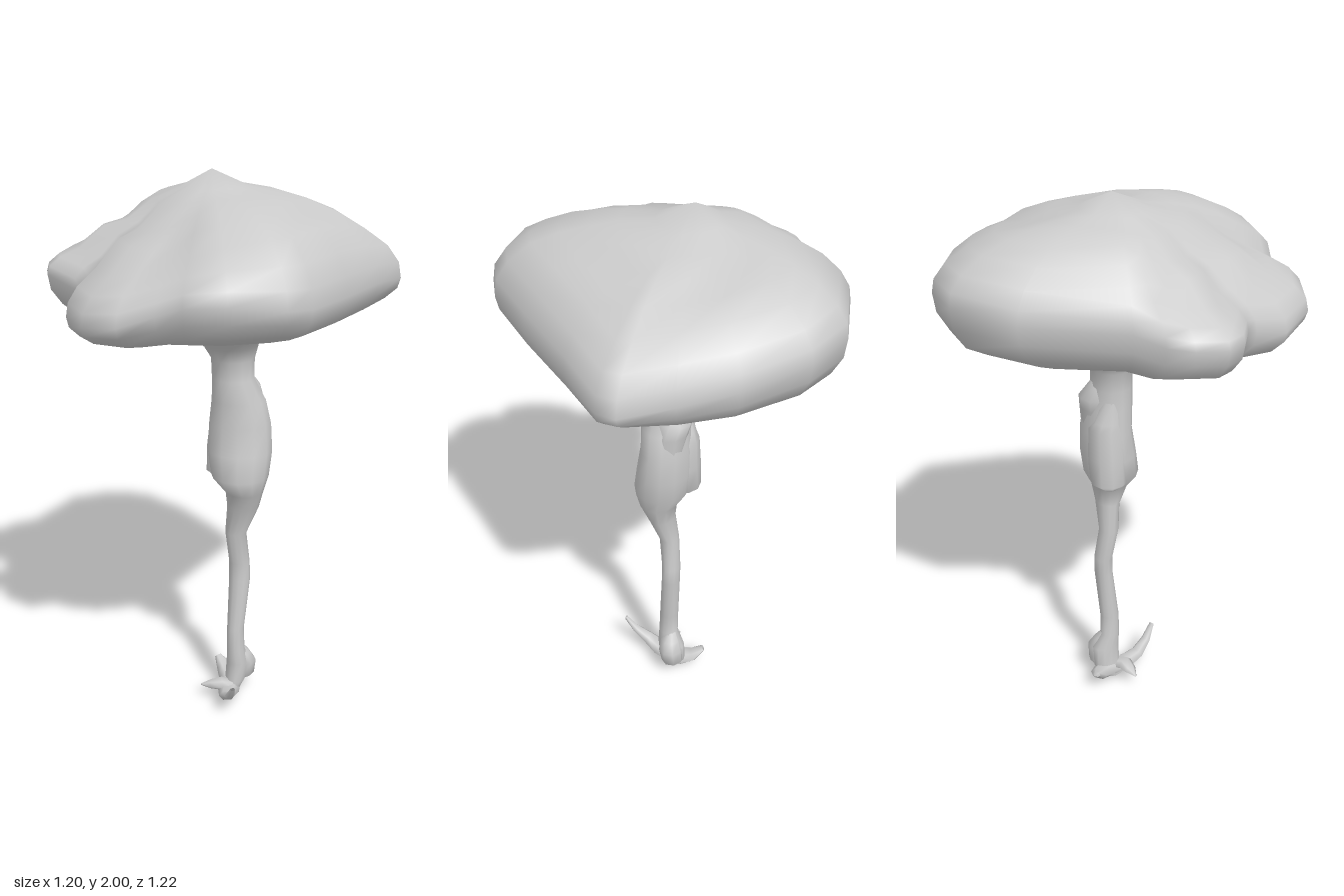
import * as THREE from 'three';
import { mergeVertices } from 'three/addons/utils/BufferGeometryUtils.js';

const lerp = THREE.MathUtils.lerp;
const material = new THREE.MeshStandardMaterial({ color: 0xcccccc, side: THREE.DoubleSide });

// Skin a stack of rings (bottom to top); each ring is a closed loop of [x, y, z]
function loft(name, rings) {
  const n = rings[0].length;
  const index = [];
  for (let i = 0; i < rings.length - 1; i++) {
    for (let j = 0; j < n; j++) {
      const a = i * n + j, b = i * n + (j + 1) % n;
      index.push(a, a + n, b, b, a + n, b + n);
    }
  }
  let geo = new THREE.BufferGeometry();
  geo.setAttribute('position', new THREE.Float32BufferAttribute(rings.flat(2), 3));
  geo.setIndex(index);
  geo = mergeVertices(geo, 1e-4);
  geo.computeVertexNormals();
  const mesh = new THREE.Mesh(geo, material);
  mesh.name = name;
  return mesh;
}

// Rings given by their extents: [y, xMin, xMax, zMin, zMax]
function column(name, sections, sides = 10) {
  return loft(name, sections.map(([y, x0, x1, z0, z1]) =>
    Array.from({ length: sides }, (_, j) => {
      const t = j / sides * Math.PI * 2;
      return [(x0 + x1) / 2 + Math.sin(t) * (x1 - x0) / 2, y, (z0 + z1) / 2 - Math.cos(t) * (z1 - z0) / 2];
    })));
}

// Tapered root: rings across a path of [x, y, z, radius]
function root(name, path) {
  const pts = path.map(p => new THREE.Vector3(p[0], p[1], p[2]));
  const rings = pts.map((p, i) => {
    const dir = pts[Math.min(i + 1, pts.length - 1)].clone().sub(pts[Math.max(i - 1, 0)]).normalize();
    const u = new THREE.Vector3(0, 1, 0).cross(dir).normalize();
    const v = dir.clone().cross(u);
    return Array.from({ length: 6 }, (_, j) => {
      const t = -j / 6 * Math.PI * 2;
      return p.clone().addScaledVector(u, Math.cos(t) * path[i][3])
        .addScaledVector(v, Math.sin(t) * path[i][3] * 0.6).toArray();
    });
  });
  return loft(name, rings);
}

// Cap outline, clockwise from the back: [x, z, underside y, rim y, shoulder y]
const outline = [
  [-0.02, -0.61, 1.59, 1.73, 1.87], [0.15, -0.59, 1.59, 1.72, 1.86],
  [0.34, -0.47, 1.57, 1.68, 1.84], [0.47, -0.34, 1.56, 1.65, 1.82],
  [0.58, -0.21, 1.56, 1.62, 1.80], [0.60, -0.15, 1.56, 1.63, 1.80],
  [0.52, 0.03, 1.56, 1.65, 1.83], [0.42, 0.27, 1.57, 1.66, 1.86],
  [0.32, 0.48, 1.58, 1.67, 1.86], [0.25, 0.55, 1.59, 1.68, 1.86],
  [0.08, 0.61, 1.59, 1.70, 1.84], [-0.05, 0.59, 1.58, 1.69, 1.81],
  [-0.14, 0.54, 1.56, 1.65, 1.77], [-0.25, 0.57, 1.55, 1.62, 1.75],
  [-0.37, 0.50, 1.54, 1.60, 1.73], [-0.455, 0.34, 1.52, 1.59, 1.73],
  [-0.44, 0.23, 1.52, 1.61, 1.74], [-0.47, 0.17, 1.53, 1.64, 1.74],
  [-0.58, 0.07, 1.56, 1.66, 1.75], [-0.60, 0.00, 1.56, 1.66, 1.75],
  [-0.57, -0.10, 1.57, 1.67, 1.76], [-0.52, -0.17, 1.57, 1.68, 1.78],
  [-0.41, -0.21, 1.57, 1.69, 1.81], [-0.24, -0.50, 1.60, 1.72, 1.87],
];

// Shallow furrows on the crown: [x0, z0, x1, z1, depth]
const furrows = [[-0.36, -0.1, -0.15, 0.34, 0.04], [0.36, -0.02, 0.3, 0.2, 0.03], [0.08, -0.27, 0.25, -0.25, 0.025]];
function furrowDepth(x, z) {
  return furrows.reduce((sum, [x0, z0, x1, z1, depth]) => {
    const dx = x1 - x0, dz = z1 - z0;
    const t = THREE.MathUtils.clamp(((x - x0) * dx + (z - z0) * dz) / (dx * dx + dz * dz), 0, 1);
    const d = Math.hypot(x - x0 - t * dx, z - z0 - t * dz);
    return sum + depth * Math.exp(-((d / 0.07) ** 2));
  }, 0);
}

function createCap() {
  // [scale toward the axis, height rule, on the crown]
  const levels = [
    [0, () => 1.53], [0.25, () => 1.525], [0.5, () => 1.5], [0.66, lo => lerp(1.5, lo, 0.25)],
    [0.8, lo => lerp(1.5, lo, 0.58)], [0.92, lo => lo],
    [0.985, (lo, rim) => lerp(lo, rim, 0.5)], [1, (lo, rim) => rim],
    [0.985, (lo, rim, sh) => lerp(rim, sh, 0.32)], [0.92, (lo, rim, sh) => lerp(rim, sh, 0.66)],
    [0.8, (lo, rim, sh) => sh],
    [0.66, (lo, rim, sh) => lerp(sh, 1.955, 0.4), true], [0.52, (lo, rim, sh) => lerp(sh, 1.955, 0.65), true],
    [0.38, (lo, rim, sh) => lerp(sh, 1.955, 0.82), true], [0.2, (lo, rim, sh) => lerp(sh, 1.955, 0.95), true],
    [0, () => 2],
  ];
  return loft('cap', levels.map(([s, height, crown]) => outline.map(([x, z, lo, rim, sh]) => {
    // Inner rings grow rounder than the rim
    const k = lerp(0.54 / Math.hypot(x, z), 1, Math.min(1, s * 1.2)) * s;
    const px = x * k - 0.04 * (1 - s), pz = z * k - 0.05 * (1 - s);
    return [px, height(lo, rim, sh) - (crown ? furrowDepth(px, pz) : 0), pz];
  })));
}

export function createModel() {
  const group = new THREE.Group();
  group.name = 'mushroom';
  group.add(createCap());

  // Stem with a heel at the bottom, a swollen middle and a flare into the cap
  group.add(column('stem', [
    [0.0, 0.02, 0.04, -0.01, 0.01], [0.02, 0.0, 0.06, -0.05, 0.04], [0.07, 0.01, 0.09, -0.08, 0.03],
    [0.15, 0.015, 0.1, -0.08, 0.03], [0.21, 0.017, 0.085, -0.045, 0.03],
    [0.3, 0.018, 0.082, -0.047, 0.027], [0.5, 0.023, 0.102, -0.06, 0.005], [0.57, 0.023, 0.1, -0.062, 0.004],
    [0.7, 0.01, 0.088, -0.047, 0.024], [0.81, 0.018, 0.133, -0.042, 0.04], [0.88, 0.013, 0.15, -0.055, 0.085],
    [0.94, -0.04, 0.168, -0.09, 0.107], [1.03, -0.053, 0.178, -0.1, 0.09], [1.13, -0.048, 0.172, -0.1, 0.072],
    [1.22, -0.038, 0.153, -0.088, 0.075], [1.3, -0.037, 0.112, -0.077, 0.067], [1.37, -0.04, 0.112, -0.08, 0.067],
    [1.42, -0.07, 0.125, -0.11, 0.095], [1.46, -0.12, 0.16, -0.16, 0.14],
    [1.5, -0.19, 0.22, -0.2, 0.18], [1.54, -0.23, 0.26, -0.23, 0.21],
  ], 12));

  // Lump on the back of the swelling, and a knot above it
  group.add(column('stemLump', [
    [0.925, -0.05, 0.0, -0.08, -0.02], [0.94, -0.062, 0.07, -0.105, 0.03], [1.04, -0.06, 0.09, -0.107, 0.03],
    [1.15, -0.047, 0.08, -0.105, 0.03], [1.18, -0.04, 0.06, -0.09, 0.03], [1.26, -0.03, 0.04, -0.065, 0.01],
  ], 10));
  group.add(column('stemKnot', [
    [1.1, 0.05, 0.14, -0.085, 0.0], [1.21, 0.01, 0.145, -0.1, 0.02],
    [1.26, 0.0, 0.13, -0.112, 0.02], [1.32, 0.01, 0.09, -0.075, 0.01],
  ], 10));

  // Knob beside the heel
  group.add(column('heelKnob', [
    [0.05, 0.04, 0.07, -0.06, -0.02], [0.08, 0.03, 0.12, -0.085, 0.0], [0.14, 0.03, 0.127, -0.085, 0.01],
    [0.18, 0.03, 0.105, -0.065, 0.01], [0.22, 0.04, 0.07, -0.04, 0.0],
  ], 8));

  // Roots curling out of the heel
  group.add(root('frontRoot', [
    [0.03, 0.04, -0.02, 0.04], [0.03, 0.045, 0.05, 0.04], [0.03, 0.065, 0.11, 0.03],
    [0.045, 0.1, 0.16, 0.02], [0.06, 0.155, 0.2, 0.01],
  ]));
  group.add(root('backRoot', [
    [0.04, 0.05, 0.0, 0.04], [0.025, 0.05, -0.05, 0.045], [0.0, 0.065, -0.09, 0.035], [-0.03, 0.095, -0.12, 0.015],
  ]));
  group.add(root('sideRoot', [
    [0.04, 0.05, 0.01, 0.035], [0.0, 0.065, 0.03, 0.035], [-0.04, 0.06, 0.03, 0.025], [-0.08, 0.055, 0.03, 0.004],
  ]));
  return group;
}
